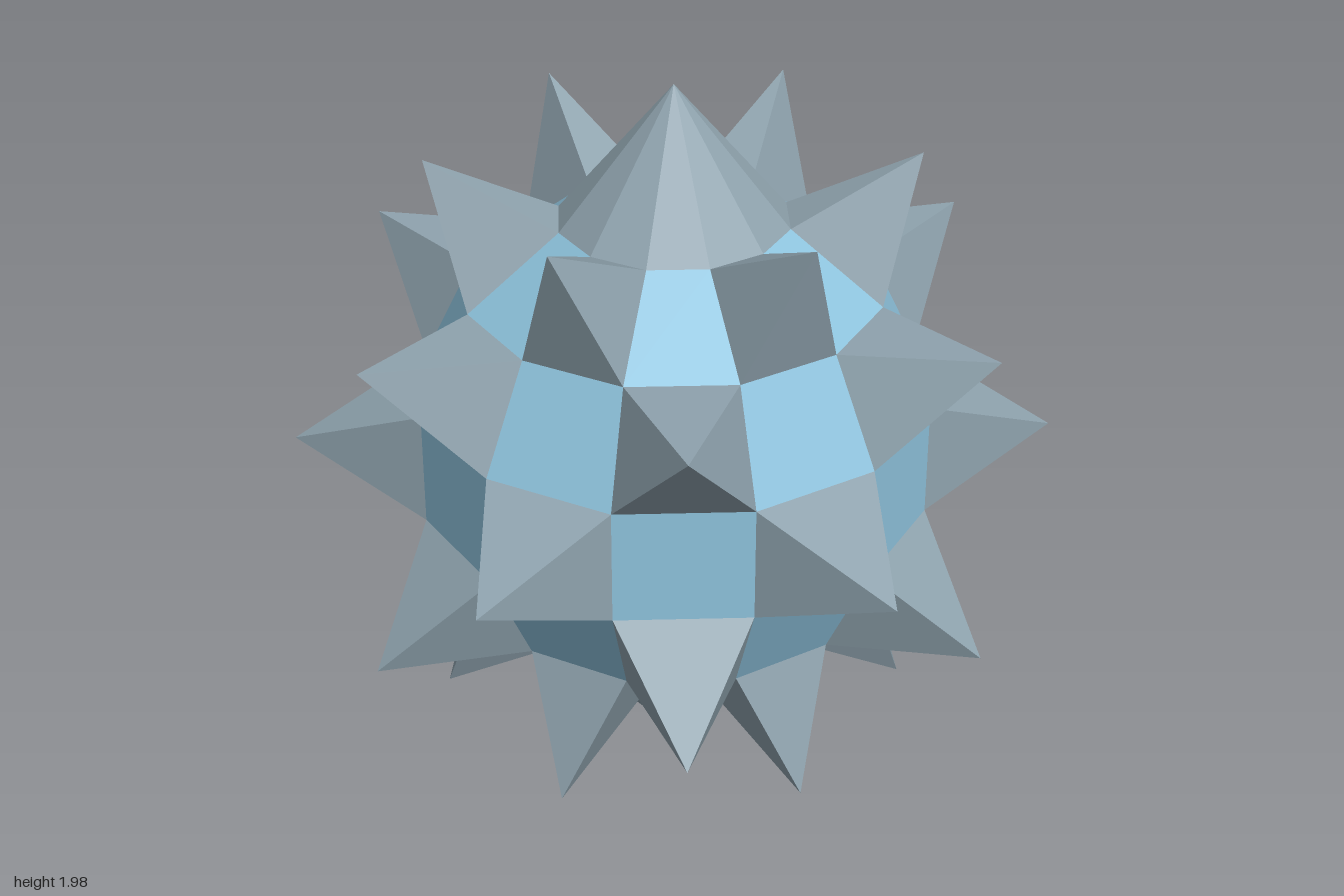
import * as THREE from 'three';

const SEGMENTS = 12, BANDS = 7, RADIUS = 0.695, SPIKE = 0.345, POLE = 0.99;

const tileMaterial = new THREE.MeshStandardMaterial({ color: 0x8fc4de, flatShading: true });
const spikeMaterial = new THREE.MeshStandardMaterial({ color: 0x8fa3ae, flatShading: true });

// Corner of the faceted ball: ring counts down from the top pole, seg runs from +z towards +x
function corner(ring, seg) {
  const polar = (ring * Math.PI) / BANDS;
  const around = ((seg - 0.5) * 2 * Math.PI) / SEGMENTS;
  const r = RADIUS * Math.sin(polar);
  return new THREE.Vector3(r * Math.sin(around), RADIUS * Math.cos(polar), r * Math.cos(around));
}

// Mesh from a list of triangle corners
function facetMesh(points, material, name) {
  const geometry = new THREE.BufferGeometry().setFromPoints(points);
  geometry.computeVertexNormals();
  const mesh = new THREE.Mesh(geometry, material);
  mesh.name = name;
  return mesh;
}

// Sides of a pyramid joining a counter-clockwise base to its tip
function pyramid(base, tip) {
  return base.flatMap((p, i) => [p, base[(i + 1) % base.length], tip]);
}

// Tip standing off the middle of a four-sided cell, along its normal
function cellTip([a, b, c, d]) {
  const middle = a.clone().add(b).add(c).add(d).multiplyScalar(0.25);
  const normal = c.clone().sub(a).cross(d.clone().sub(b)).normalize();
  return middle.addScaledVector(normal, SPIKE);
}

export function createModel() {
  const model = new THREE.Group();
  model.name = 'spikedBall';
  const body = new THREE.Group();
  body.name = 'body';
  body.position.y = 1;
  model.add(body);

  // Flat tiles and pyramid spikes alternate like a checkerboard
  const tiles = [];
  for (let band = 1; band < BANDS - 1; band++) {
    for (let seg = 0; seg < SEGMENTS; seg++) {
      const cell = [
        corner(band + 1, seg), corner(band + 1, seg + 1),
        corner(band, seg + 1), corner(band, seg),
      ];
      if ((band + seg) % 2 === 0) {
        body.add(facetMesh(pyramid(cell, cellTip(cell)), spikeMaterial, 'spike'));
      } else {
        const [a, b, c, d] = cell;
        tiles.push(a, b, c, a, c, d);
      }
    }
  }
  body.add(facetMesh(tiles, tileMaterial, 'tiles'));

  // Twelve-sided cones close both poles
  const topRing = [], bottomRing = [];
  for (let seg = 0; seg < SEGMENTS; seg++) {
    topRing.push(corner(1, seg));
    bottomRing.unshift(corner(BANDS - 1, seg));
  }
  body.add(facetMesh(pyramid(topRing, new THREE.Vector3(0, POLE, 0)), spikeMaterial, 'topCone'));
  body.add(facetMesh(pyramid(bottomRing, new THREE.Vector3(0, -POLE, 0)), spikeMaterial, 'bottomCone'));

  return model;
}
